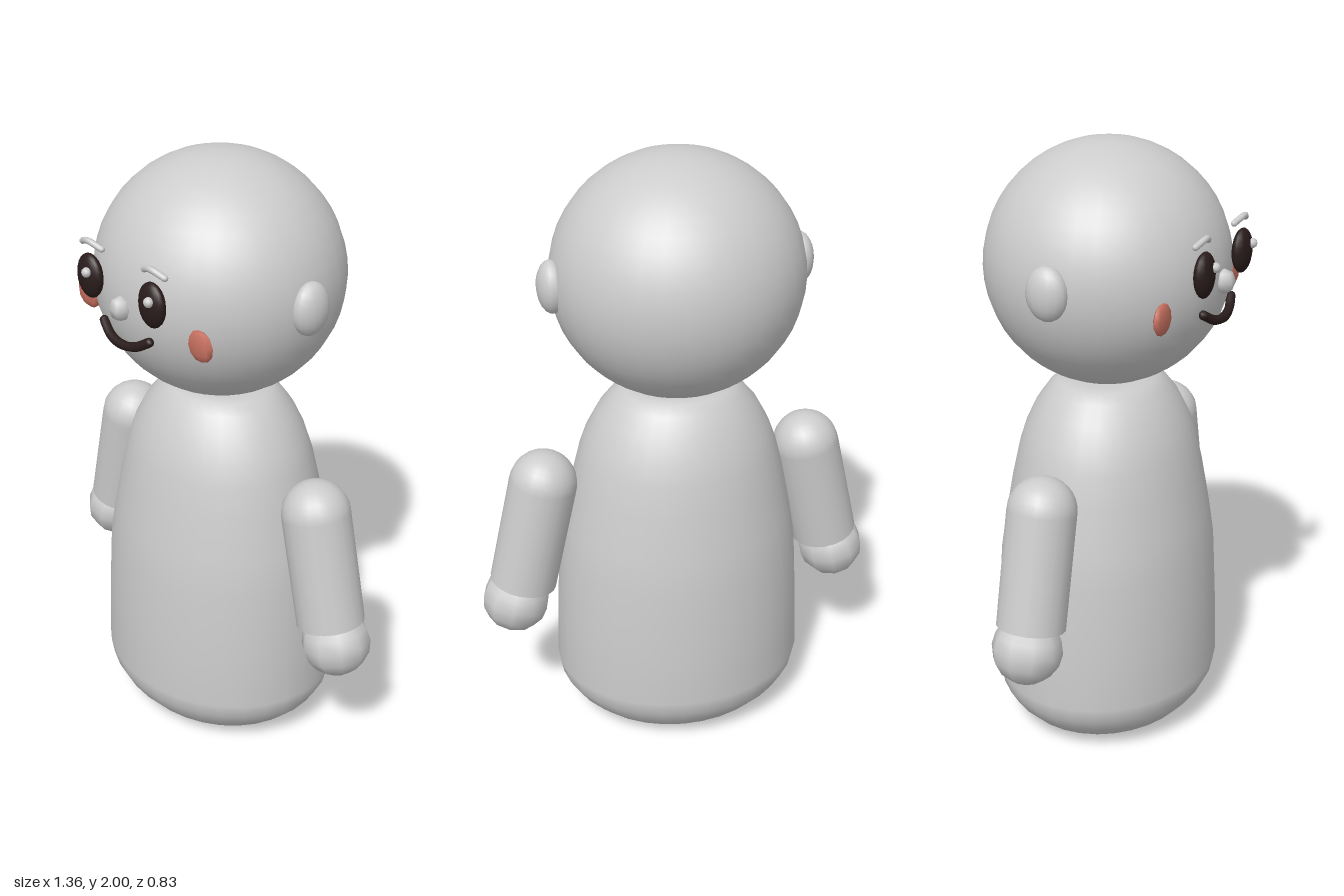
import * as THREE from 'three';

const paint = (name, color) => {
  const m = new THREE.MeshStandardMaterial({ color });
  m.name = name;
  return m;
};

export function createModel() {
  const plain = paint('plain grey', 0xcccccc);
  const dark = paint('dark brown', 0x2a1c1c);
  const blush = paint('blush', 0xc97261);
  const model = new THREE.Group();
  model.name = 'pegDoll';
  const Z = -0.022; // depth of the body axis

  const add = (name, geometry, material, x = 0, y = 0, z = 0, parent = model) => {
    const mesh = new THREE.Mesh(geometry, material);
    mesh.name = name;
    mesh.position.set(x, y, z);
    parent.add(mesh);
    return mesh;
  };
  const ellipsoid = (rx, ry, rz, w = 16, h = 12) =>
    new THREE.SphereGeometry(1, w, h).scale(rx, ry, rz);
  const tube = (points, r, segments) => new THREE.TubeGeometry(
    new THREE.CatmullRomCurve3(points.map(p => new THREE.Vector3(...p))), segments, r, 8);

  // Body: turned profile, flattened front to back
  const profile = [[0, 0.005], [0.25, 0.005], [0.285, 0.018], [0.34, 0.055], [0.385, 0.1],
    [0.415, 0.15], [0.425, 0.2], [0.418, 0.4], [0.405, 0.63], [0.385, 0.75], [0.355, 0.9],
    [0.33, 1.0], [0.305, 1.07], [0.265, 1.145], [0.22, 1.2], [0.185, 1.226], [0.15, 1.235],
    [0, 1.235]].map(p => new THREE.Vector2(...p));
  add('body', new THREE.LatheGeometry(profile, 32).scale(1, 1, 0.86), plain, 0, 0, Z);

  // Head
  add('head', ellipsoid(0.402, 0.39, 0.392, 32, 24), plain, 0, 1.61, Z);
  add('nose', ellipsoid(0.036, 0.04, 0.036, 6, 4), plain, 0, 1.596, 0.374);

  // Mouth with rounded ends
  const smile = [[-0.108, 1.516, 0.354], [-0.06, 1.489, 0.368], [0, 1.479, 0.374],
    [0.06, 1.489, 0.368], [0.108, 1.516, 0.354]];
  add('mouth', tube(smile, 0.015, 20), dark);
  for (const end of [smile[0], smile[4]])
    add('mouthEnd', ellipsoid(0.015, 0.015, 0.015, 8, 6), dark, ...end);

  for (const s of [-1, 1]) {
    const side = s > 0 ? 'left' : 'right';
    add(side + 'Ear', ellipsoid(0.046, 0.085, 0.068), plain, s * 0.4, 1.613, Z);
    add(side + 'Eye', ellipsoid(0.055, 0.071, 0.028), dark, s * 0.147, 1.655, 0.371);
    // Both highlights sit on the same side of their eye
    add(side + 'EyeHighlight', ellipsoid(0.016, 0.016, 0.016, 8, 6), plain,
      s * 0.147 + 0.017, 1.677, 0.398);
    add(side + 'Cheek', ellipsoid(0.057, 0.05, 0.016, 8, 6), blush, s * 0.265, 1.54, 0.29)
      .rotation.z = s * 0.15;
    add(side + 'Brow', tube([[s * 0.194, 1.75, 0.36], [s * 0.147, 1.767, 0.374],
      [s * 0.1, 1.75, 0.36]], 0.01, 6), plain);
    for (const x of [0.194, 0.1])
      add(side + 'BrowEnd', ellipsoid(0.01, 0.01, 0.01, 8, 6), plain, s * x, 1.75, 0.36);

    // Arm hanging outward from the shoulder, with a faceted round hand
    const arm = new THREE.Group();
    arm.name = side + 'Arm';
    arm.position.set(s * 0.456, 0.93, Z);
    arm.rotation.z = s * 0.225;
    add('shoulder', new THREE.SphereGeometry(0.111, 20, 8, 0, Math.PI * 2, 0, Math.PI / 2),
      plain, 0, 0, 0, arm);
    add('sleeve', new THREE.CylinderGeometry(0.111, 0.111, 0.375, 20), plain, 0, -0.1875, 0, arm);
    add('hand', ellipsoid(0.112, 0.112, 0.115, 10, 8), plain, s * 0.012, -0.447, 0, arm);
    model.add(arm);
  }
  return model;
}
